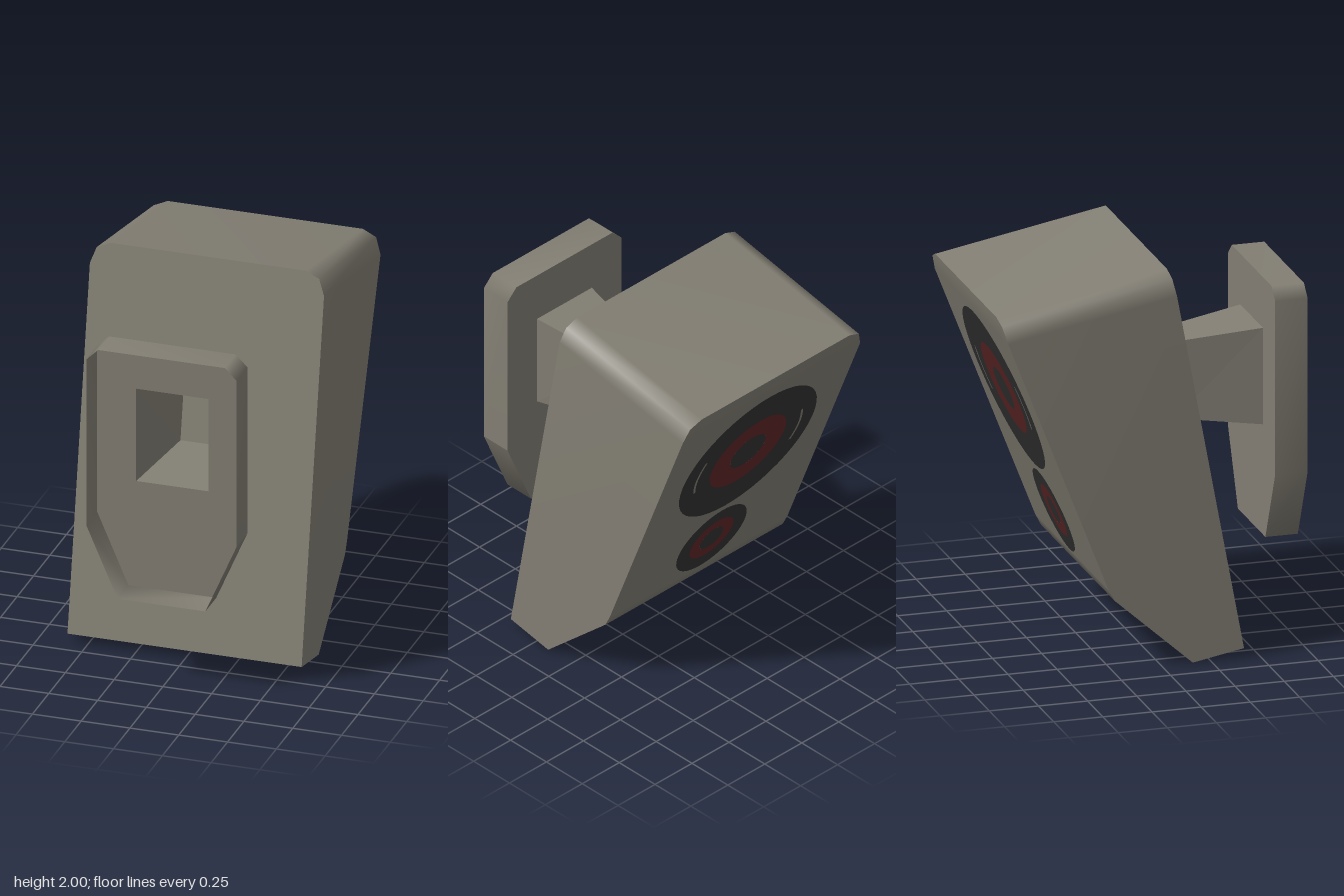
import * as THREE from 'three';

// Skin between two matching rails of points; smooth shares normals along the rails
function strip(a, b, smooth = true) {
  const pos = [], idx = [];
  a.forEach((p, i) => {
    pos.push(...p, ...b[i]);
    if (i === a.length - 1) return;
    const k = i * 2;
    idx.push(k, k + 1, k + 3, k, k + 3, k + 2);
  });
  let g = new THREE.BufferGeometry();
  g.setAttribute('position', new THREE.Float32BufferAttribute(pos, 3));
  g.setIndex(idx);
  if (!smooth) g = g.toNonIndexed();
  g.computeVertexNormals();
  return g;
}

export function createModel() {
  const root = new THREE.Group();
  const mat = (name, color, side = THREE.FrontSide) => {
    const m = new THREE.MeshStandardMaterial({ color, side });
    m.name = name;
    return m;
  };
  const grey = mat('warm grey', 0x827e73, THREE.DoubleSide);
  const black = mat('black', 0x323232);
  const red = mat('dark red', 0x5f2626);

  const add = (parent, name, geometry, material) => {
    const m = new THREE.Mesh(geometry, material);
    m.name = name;
    parent.add(m);
    return m;
  };

  // Cabinet frame: v runs up the tilted wall-side face, d runs away from it
  const at = (x, v, d) => [x, 0.05 - 0.182 * d + 0.983 * v, 0.42 - 0.983 * d - 0.182 * v];
  // Rows of the cabinet: [v, half width, depth]
  const rows = [
    [0, 0.6, 0.265], [0.425, 0.6, 0.592], [0.489, 0.6, 0.611],
    [1.87, 0.6, 0.874], [1.953, 0.57, 0.8805], [1.984, 0.5, 0.883],
  ];
  const rail = (sx, front) => rows.map(([v, w, d]) => at(sx * w, v, front ? 0 : d));
  const cabinet = new THREE.Group();
  cabinet.name = 'cabinet';
  root.add(cabinet);
  add(cabinet, 'sidesAndTop', strip(
    [...rail(1, true), ...rail(-1, true).reverse()],
    [...rail(1, false), ...rail(-1, false).reverse()]), grey);
  add(cabinet, 'wallSideFace', strip(rail(-1, true), rail(1, true)), grey);
  add(cabinet, 'baffle', strip(rail(1, false), rail(-1, false)), grey);
  add(cabinet, 'underside', strip(
    [at(-0.6, 0, 0), at(0.6, 0, 0)], [at(-0.6, 0, 0.265), at(0.6, 0, 0.265)]), grey);

  // Speaker drivers: thin discs on the baffle between two cabinet rows
  function driver(name, lower, upper, t, x, radius, ringOuter, ringInner) {
    const a = new THREE.Vector3(...at(0, lower[0], lower[2]));
    const b = new THREE.Vector3(...at(0, upper[0], upper[2]));
    const xAxis = new THREE.Vector3(-1, 0, 0);
    const yAxis = b.clone().sub(a).normalize();
    const zAxis = xAxis.clone().cross(yAxis);
    const g = new THREE.Group();
    g.name = name;
    g.quaternion.setFromRotationMatrix(new THREE.Matrix4().makeBasis(xAxis, yAxis, zAxis));
    g.position.copy(a).lerp(b, t).addScaledVector(zAxis, 0.004);
    g.position.x = x;
    add(g, 'surround', new THREE.RingGeometry(ringOuter, radius, 48), black);
    add(g, 'cone', new THREE.RingGeometry(ringInner, ringOuter, 48), red);
    add(g, 'dustCap', new THREE.CircleGeometry(ringInner, 32), black);
    root.add(g);
    return g;
  }
  const woofer = driver('woofer', rows[2], rows[3], 0.671, 0, 0.44, 0.245, 0.113);
  driver('midDriver', rows[2], rows[3], 0.172, 0, 0.225, 0.14, 0.075);
  driver('smallTweeter', rows[0], rows[1], 0.56, 0.25, 0.155, 0.092, 0.043);
  driver('largeTweeter', rows[0], rows[1], 0.56, -0.25, 0.19, 0.107, 0.054);

  // Slim grey arcs on the woofer surround
  for (const mid of [0, Math.PI]) {
    const arc = add(woofer, 'surroundArc',
      new THREE.RingGeometry(0.336, 0.35, 12, 1, mid - 0.36, 0.72), grey);
    arc.position.z = 0.002;
  }

  // Wall bracket: open tray with a hollow tapering arm
  const bracket = new THREE.Group();
  bracket.name = 'wallBracket';
  root.add(bracket);
  const outline = [
    [0.4, 0.84], [0.4, 1.73], [0.34, 1.79], [-0.31, 1.79],
    [-0.37, 1.73], [-0.37, 0.84], [-0.21, 0.47], [0.24, 0.47],
  ];
  const mouth = [[0.2, 1.035], [0.2, 1.53], [-0.17, 1.53], [-0.17, 1.035]];
  const tip = [[0.115, 1.08, 0.23], [0.115, 1.47, 0.157], [-0.085, 1.47, 0.157], [-0.085, 1.08, 0.23]];
  const loop = (pts, z) => [...pts, pts[0]].map(([x, y]) => [x, y, z]);
  add(bracket, 'trayRim', strip(loop(outline, 0.815), loop(outline, 0.65)), grey);

  const toV2 = pts => pts.map(p => new THREE.Vector2(...p));
  const panel = new THREE.Shape(toV2(outline));
  panel.holes.push(new THREE.Path(toV2(mouth)));
  add(bracket, 'trayPanel', new THREE.ShapeGeometry(panel), grey).position.z = 0.65;
  add(bracket, 'arm', strip(loop(mouth, 0.65), [...tip, tip[0]], false), grey);

  return root;
}
